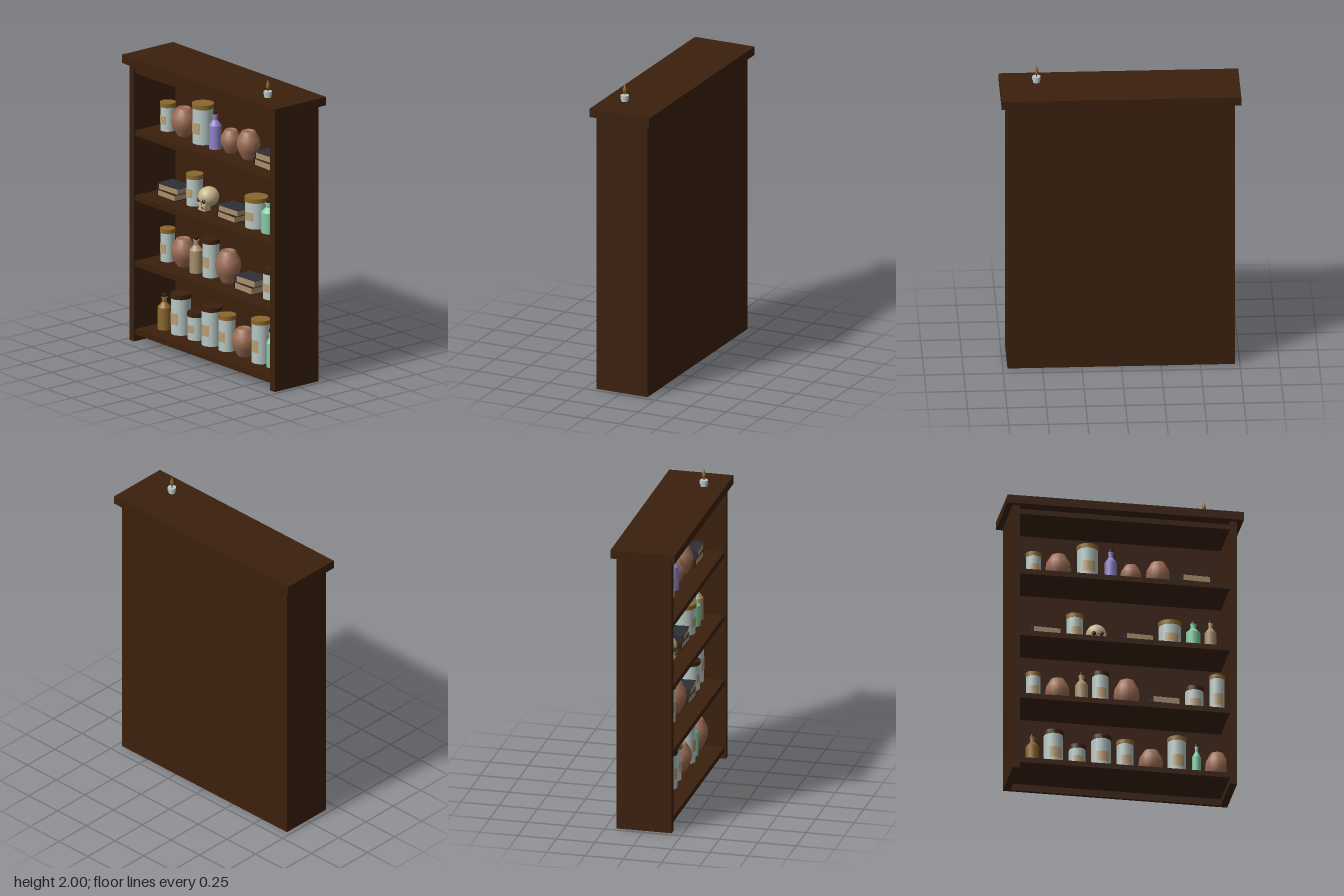
import * as THREE from 'three';

const mat = (name, color, side = THREE.FrontSide) => {
  const m = new THREE.MeshStandardMaterial({ color, side });
  m.name = name;
  return m;
};

export function createModel() {
  const wood = mat('dark wood', 0x3b200d);
  const glass = mat('pale glass', 0xb7c8c4);
  const gold = mat('gold', 0x8a682c);
  const paper = mat('label paper', 0xb99d74, THREE.DoubleSide);
  const clay = mat('clay', 0x9c6c54);
  const purple = mat('purple glass', 0x8f82c8);
  const green = mat('green glass', 0x7fcba4);
  const tan = mat('tan', 0xa88f6c);
  const slate = mat('slate', 0x2e2e36);
  const bone = mat('bone', 0xc8b48a);

  const model = new THREE.Group();
  model.name = 'apothecaryShelf';

  const add = (parent, name, geo, material, x = 0, y = 0, z = 0) => {
    const m = new THREE.Mesh(geo, material);
    m.name = name;
    m.position.set(x, y, z);
    parent.add(m);
    return m;
  };
  const box = (parent, name, material, w, h, d, x, y, z) =>
    add(parent, name, new THREE.BoxGeometry(w, h, d), material, x, y, z);
  const cyl = (parent, name, material, r, y0, y1, rTop = r) =>
    add(parent, name, new THREE.CylinderGeometry(rTop, r, y1 - y0, 20), material, 0, (y0 + y1) / 2, 0);
  const lathe = (parent, name, material, pts) =>
    add(parent, name, new THREE.LatheGeometry(pts.map(p => new THREE.Vector2(p[0], p[1])), 20), material);
  const item = (name, x, y, z = 0) => {
    const g = new THREE.Group();
    g.name = name;
    g.position.set(x, y, z);
    model.add(g);
    return g;
  };

  // Cabinet
  for (const s of [-1, 1]) box(model, 'sidePanel', wood, 0.045, 1.83, 0.36, s * 0.6975, 0.915, 0);
  box(model, 'backPanel', wood, 1.35, 1.83, 0.02, 0, 0.915, -0.17);
  box(model, 'topSlab', wood, 1.516, 0.055, 0.42, 0, 1.8575, 0);
  const levels = [0.08, 0.53, 0.965, 1.395];
  for (const y of [...levels, 1.81]) box(model, 'shelfBoard', wood, 1.35, 0.035, 0.33, 0, y - 0.0175, 0.005);

  // Glass jar with a lid and a curved paper label on the front
  const jar = (x, y, r, h, lid) => {
    const g = item('jar', x, y);
    cyl(g, 'jarBody', glass, r * 0.96, 0, h - 0.025);
    cyl(g, 'jarLid', lid, r * 1.02, h - 0.028, h);
    const label = new THREE.CylinderGeometry(r * 0.96 + 0.002, r * 0.96 + 0.002, h * 0.28, 8, 1, true, -0.63, 1.26);
    add(g, 'jarLabel', label, paper, 0, h * 0.4, 0);
  };

  // Barrel-shaped clay pot
  const pot = (x, y, r, h) => {
    const g = item('pot', x, y);
    lathe(g, 'potBody', clay, [
      [0, 0], [r * 0.52, 0], [r * 0.56, h * 0.06], [r * 0.86, h * 0.28], [r, h * 0.5],
      [r * 0.93, h * 0.72], [r * 0.64, h * 0.94], [r * 0.56, h], [r * 0.45, h], [r * 0.42, h * 0.95], [0, h * 0.95],
    ]);
  };

  // Bottle with shoulder, neck, lip and stopper
  const bottle = (x, y, r, h, material) => {
    const g = item('bottle', x, y, 0.02);
    cyl(g, 'bottleBody', material, r, 0, h * 0.63);
    cyl(g, 'bottleShoulder', material, r, h * 0.63, h * 0.77, r * 0.4);
    cyl(g, 'bottleNeck', material, r * 0.38, h * 0.77, h * 0.91);
    cyl(g, 'bottleLip', material, r * 0.46, h * 0.88, h * 0.92);
    cyl(g, 'stopper', wood, r * 0.34, h * 0.9, h);
  };

  // Two stacked books: pages between covers, spine to the right
  const books = (x, y, h) => {
    const g = item('bookStack', x, y);
    for (const [i, cover] of [wood, slate].entries()) {
      const b = new THREE.Group();
      b.name = 'book';
      const t = h / 2 - 0.002;
      b.position.set(i ? 0.01 : -0.005, i * h / 2 + t / 2, 0);
      b.rotation.y = i ? 0.05 : -0.03;
      g.add(b);
      box(b, 'pages', tan, 0.17, t - 0.008, 0.124, 0.004, 0, 0);
      for (const s of [-1, 1]) box(b, 'cover', cover, 0.185, 0.004, 0.13, 0, s * (t / 2 - 0.002), 0);
      box(b, 'spine', cover, 0.012, t, 0.13, -0.088, 0, 0);
    }
  };

  const [a, b, c, d] = levels;
  // Bottom shelf
  bottle(-0.566, a, 0.043, 0.23, gold);
  jar(-0.428, a, 0.066, 0.265, wood);
  jar(-0.275, a, 0.056, 0.18, wood);
  jar(-0.122, a, 0.066, 0.255, wood);
  jar(0.032, a, 0.056, 0.235, gold);
  pot(0.198, a, 0.079, 0.185);
  jar(0.365, a, 0.061, 0.285, gold);
  bottle(0.487, a, 0.028, 0.25, green);
  pot(0.622, a, 0.076, 0.2);
  // Second shelf
  jar(-0.558, b, 0.048, 0.215, gold);
  pot(-0.402, b, 0.078, 0.185);
  bottle(-0.251, b, 0.042, 0.235, tan);
  jar(-0.127, b, 0.056, 0.25, wood);
  pot(0.042, b, 0.083, 0.21);
  books(0.27, b, 0.1);
  jar(0.476, b, 0.061, 0.195, wood);
  jar(0.623, b, 0.051, 0.29, gold);
  // Third shelf
  books(-0.495, c, 0.09);
  jar(-0.291, c, 0.055, 0.205, gold);
  books(0.1, c, 0.09);
  jar(0.32, c, 0.074, 0.2, gold);
  bottle(0.466, c, 0.047, 0.215, green);
  bottle(0.577, c, 0.037, 0.23, tan);
  // Top shelf
  jar(-0.556, d, 0.05, 0.185, gold);
  pot(-0.397, d, 0.081, 0.185);
  jar(-0.209, d, 0.069, 0.26, gold);
  bottle(-0.063, d, 0.039, 0.245, purple);
  pot(0.069, d, 0.067, 0.152);
  pot(0.243, d, 0.076, 0.185);
  books(0.465, d, 0.098);

  // Skull
  const skull = item('skull', -0.153, c);
  add(skull, 'cranium', new THREE.SphereGeometry(0.065, 20, 14), bone, 0, 0.085, 0).scale.z = 1.08;
  box(skull, 'cheekbones', bone, 0.088, 0.03, 0.05, 0, 0.055, 0.035);
  box(skull, 'jaw', bone, 0.062, 0.044, 0.05, 0, 0.024, 0.035);
  for (const s of [-1, 1]) add(skull, 'eyeSocket', new THREE.SphereGeometry(0.016, 12, 8), slate, s * 0.024, 0.068, 0.056);
  const nose = add(skull, 'noseHole', new THREE.ConeGeometry(0.009, 0.018, 3), slate, 0, 0.047, 0.06);
  nose.scale.z = 0.4;
  for (let i = -2; i <= 2; i++) box(skull, 'toothGap', slate, 0.002, 0.016, 0.004, i * 0.011, 0.022, 0.06);

  // Candle rising through the top slab from its saucer
  const candle = item('candle', 0.525, 1.81, 0.075);
  cyl(candle, 'saucer', glass, 0.035, 0, 0.012, 0.05);
  cyl(candle, 'candleStem', glass, 0.023, 0.012, 0.095);
  cyl(candle, 'candleCup', glass, 0.027, 0.092, 0.114);
  cyl(candle, 'wick', slate, 0.003, 0.114, 0.13);
  lathe(candle, 'flame', gold, [[0, 0.122], [0.009, 0.133], [0.013, 0.148], [0.008, 0.168], [0, 0.19]]);

  return model;
}
